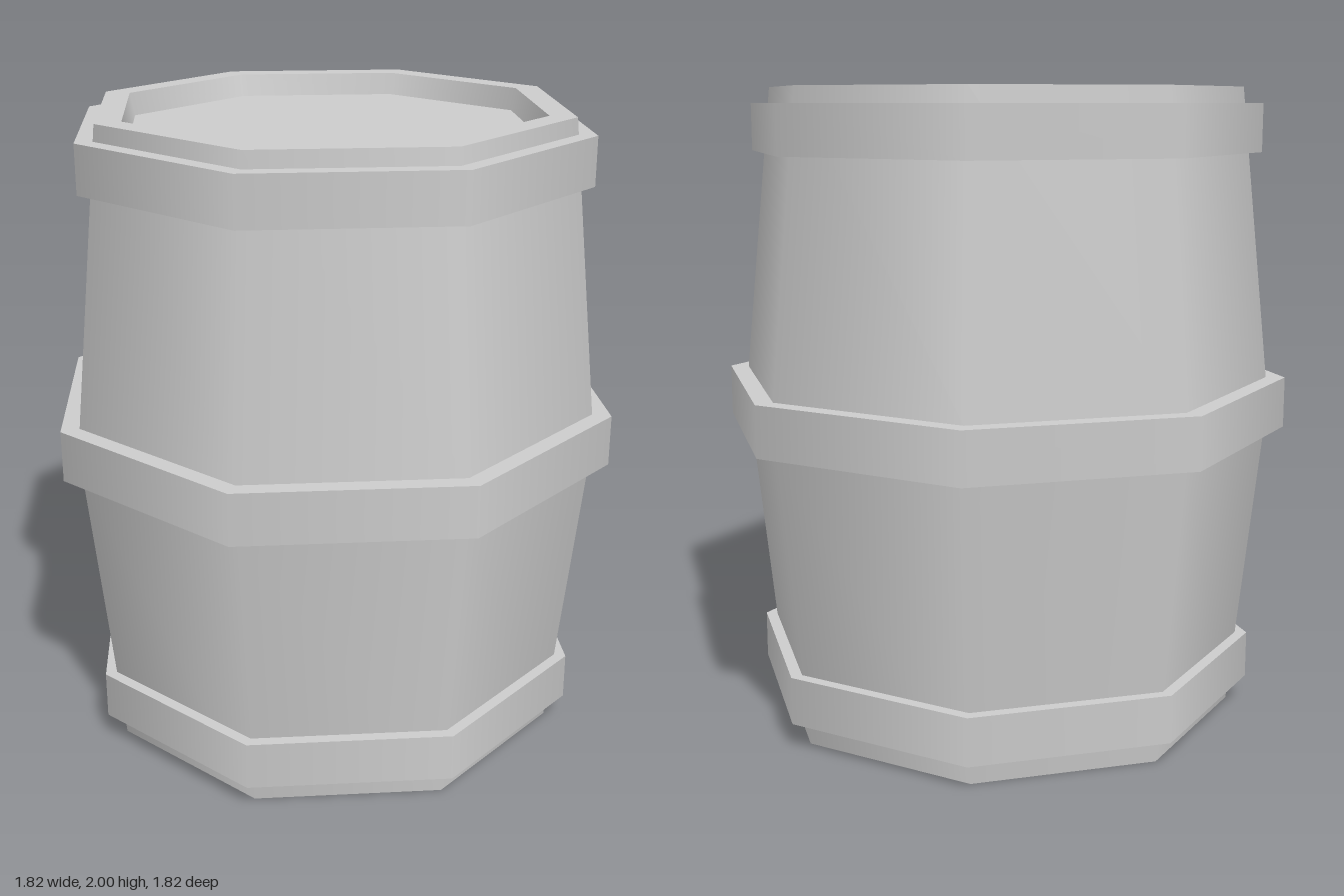
import * as THREE from 'three';
import { mergeGeometries } from 'three/addons/utils/BufferGeometryUtils.js';

const SIDES = 8;
const material = new THREE.MeshStandardMaterial({ color: 0xcccccc });

// Revolve each profile segment on its own: smooth around, sharp between segments.
function turned(name, profile) {
  const pieces = [];
  for (let i = 0; i < profile.length - 1; i++) {
    const points = [profile[i], profile[i + 1]].map(([r, y]) => new THREE.Vector2(r, y));
    pieces.push(new THREE.LatheGeometry(points, SIDES));
  }
  const mesh = new THREE.Mesh(mergeGeometries(pieces), material);
  mesh.name = name;
  return mesh;
}

// Square-section hoop whose inner edge sits just inside the staves.
function hoop(name, inner, outer, bottom, top) {
  return turned(name, [[inner, bottom], [outer, bottom], [outer, top], [inner, top]]);
}

export function createModel() {
  const barrel = new THREE.Group();
  barrel.name = 'barrel';

  // Bulging staves with closed base and rim
  barrel.add(turned('staves', [
    [0, 0], [0.753, 0], [0.85, 0.93], [0.85, 1.09], [0.753, 2], [0.67, 2],
  ]));

  // Recessed lid inside the rim
  barrel.add(turned('recessedLid', [[0.67, 2], [0.655, 1.93], [0, 1.93]]));

  // Three hoops
  barrel.add(hoop('bottomHoop', 0.74, 0.815, 0.08, 0.23));
  barrel.add(hoop('middleHoop', 0.83, 0.91, 0.93, 1.09));
  barrel.add(hoop('topHoop', 0.74, 0.815, 1.8, 1.95));

  return barrel;
}
